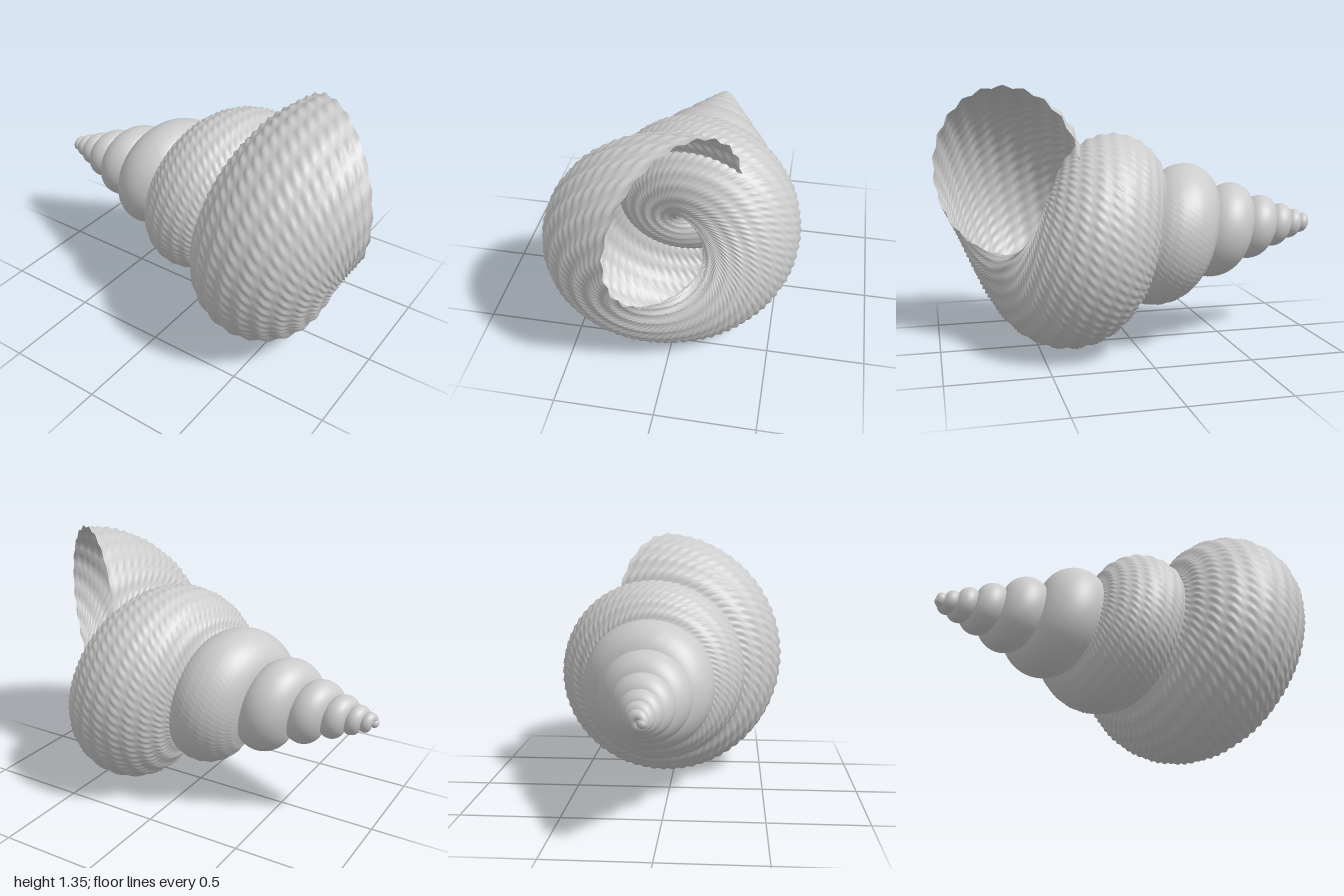
import * as THREE from 'three';

const GROWTH = 0.0619;        // exponential growth per radian of coiling
const AXIS = { x: 0.05, y: 0.62, z: -1.08 };
const CENTRE = 0.31, RADIUS = 0.422, HEIGHT = 1.745; // circular section at the lip
const TILT = 0.64;            // lean of the section plane along the coil
const START = -46;            // coil angle at the apex, the lip being 0
const SIDES = 88;

// One point on the coiled tube: t is the coil angle, a the angle around the section
function wallPoint(t, a) {
  const s = Math.exp(GROWTH * t);
  // spiral cords crossed by fine growth ribs, fading towards the apex
  const fade = THREE.MathUtils.smoothstep(t, -13, -7);
  const cord = Math.cos(22 * a);
  const rib = Math.cos(68 * t);
  const radius = RADIUS + fade * (0.005 * cord + 0.006 * rib * (0.5 + 0.5 * cord));
  const out = CENTRE + radius * Math.cos(a);
  const along = -radius * Math.sin(a) * Math.sin(TILT);
  return [
    AXIS.x + s * (out * Math.sin(t) + along * Math.cos(t)),
    AXIS.y + s * (out * Math.cos(t) - along * Math.sin(t)),
    AXIS.z + s * (HEIGHT + radius * Math.sin(a) * Math.cos(TILT)),
  ];
}

function coilGeometry() {
  // coarse steps on the small smooth whorls, fine ones on the ribbed whorls
  const steps = [];
  for (let t = START; t < -13; t += Math.PI / 24) steps.push(t);
  const fine = 560;
  for (let i = 0; i <= fine; i++) steps.push(-13 + (13 * i) / fine);

  const position = [], index = [];
  steps.forEach((t, i) => {
    for (let j = 0; j <= SIDES; j++) {
      position.push(...wallPoint(t, -Math.PI + (2 * Math.PI * j) / SIDES));
      if (i && j) {
        const d = i * (SIDES + 1) + j, c = d - 1;
        const b = d - SIDES - 1, a = b - 1;
        index.push(a, b, c, b, d, c);
      }
    }
  });
  const geometry = new THREE.BufferGeometry();
  geometry.setAttribute('position', new THREE.Float32BufferAttribute(position, 3));
  geometry.setIndex(index);
  geometry.computeVertexNormals();
  return geometry;
}

export function createModel() {
  const group = new THREE.Group();
  group.name = 'spiralShell';
  const material = new THREE.MeshStandardMaterial({ color: 0xcccccc, side: THREE.DoubleSide });

  // Coiled whorls, from the apex to the open lip
  const whorls = new THREE.Mesh(coilGeometry(), material);
  whorls.name = 'whorls';
  group.add(whorls);

  // Rounded bud closing the first whorl
  const s = Math.exp(GROWTH * START);
  const apex = new THREE.Mesh(new THREE.SphereGeometry(RADIUS * s, 20, 14), material);
  apex.name = 'apex';
  apex.position.set(
    AXIS.x + s * CENTRE * Math.sin(START),
    AXIS.y + s * CENTRE * Math.cos(START),
    AXIS.z + s * HEIGHT);
  group.add(apex);

  // Stand on the ground, centred
  const box = new THREE.Box3().setFromObject(group);
  const mid = box.getCenter(new THREE.Vector3());
  group.position.set(-mid.x, -box.min.y, -mid.z);
  return group;
}
